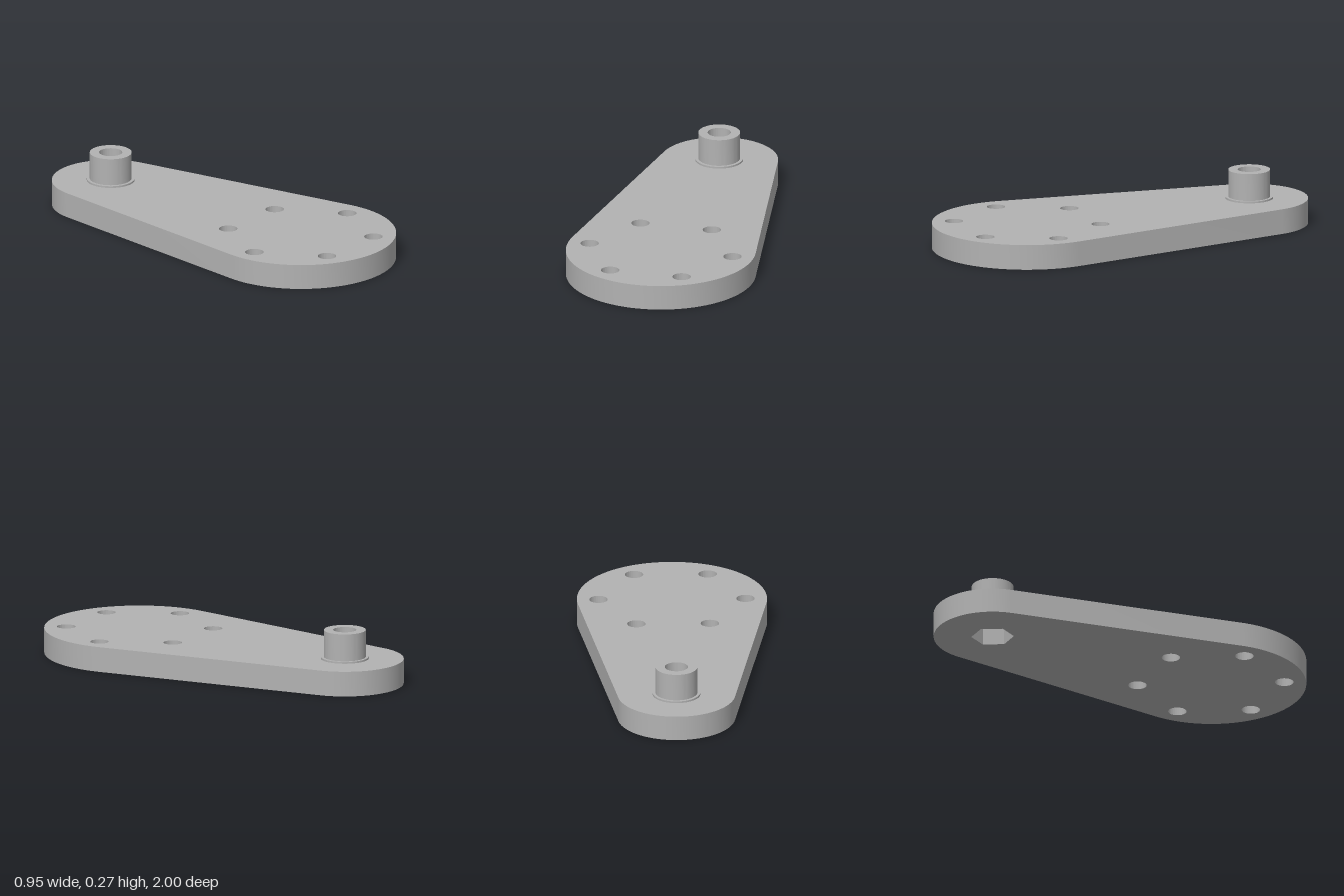
import * as THREE from 'three';
import { toCreasedNormals } from 'three/addons/utils/BufferGeometryUtils.js';

const PLATE_TOP = 0.127, RECESS = 0.085, BORE = 0.058;
const BIG = { z: 0.524, r: 0.476 }, SMALL = { z: -0.705, r: 0.295 };

// Hexagon outline with corners pointing along x
function hexagon(path, cy, r) {
  const points = [];
  for (let i = 0; i < 6; i++) {
    const a = i * Math.PI / 3;
    points.push(new THREE.Vector2(r * Math.cos(a), cy + r * Math.sin(a)));
  }
  path.setFromPoints(points);
  path.closePath();
  return path;
}

function circle(x, y, r) {
  return new THREE.Path().absarc(x, y, r, 0, Math.PI * 2, false);
}

export function createModel() {
  const model = new THREE.Group();
  const grey = new THREE.MeshStandardMaterial({ color: 0xb2b2b2 });
  grey.name = 'grey';

  const add = (name, geometry) => {
    const mesh = new THREE.Mesh(geometry, grey);
    mesh.name = name;
    model.add(mesh);
    return mesh;
  };

  // Tapered plate: two arcs joined by their common tangents
  const tilt = Math.asin((BIG.r - SMALL.r) / (BIG.z - SMALL.z));
  const outline = new THREE.Shape();
  outline.absarc(0, -SMALL.z, SMALL.r, tilt, Math.PI - tilt, false);
  outline.absarc(0, -BIG.z, BIG.r, Math.PI - tilt, 2 * Math.PI + tilt, false);
  outline.closePath();

  // Ring of six screw holes, and the hexagonal nut pocket
  for (let i = 0; i < 6; i++) {
    const a = i * Math.PI / 3;
    outline.holes.push(circle(0.368 * Math.cos(a), -0.522 + 0.368 * Math.sin(a), 0.046));
  }
  outline.holes.push(hexagon(new THREE.Path(), -SMALL.z, 0.107));

  const plate = new THREE.ExtrudeGeometry(outline, {
    depth: PLATE_TOP, bevelEnabled: false, curveSegments: 40,
  });
  plate.rotateX(-Math.PI / 2);
  add('plate', toCreasedNormals(plate, 0.5));

  // Inner end of the nut pocket, facing down around the bore
  const floor = hexagon(new THREE.Shape(), 0, 0.107);
  floor.holes.push(circle(0, 0, BORE));
  const pocket = new THREE.ShapeGeometry(floor, 40);
  pocket.rotateX(Math.PI / 2);
  add('nutPocketEnd', pocket).position.set(0, RECESS, SMALL.z);

  // Hollow boss with its thin collar and through bore
  const profile = [
    [0.12, PLATE_TOP], [0.12, 0.136], [0.105, 0.136],
    [0.105, 0.274], [BORE, 0.274], [BORE, RECESS],
  ].map(([r, y]) => new THREE.Vector2(r, y));
  const boss = new THREE.LatheGeometry(profile, 64);
  add('boss', toCreasedNormals(boss, 0.5)).position.z = SMALL.z;

  return model;
}
